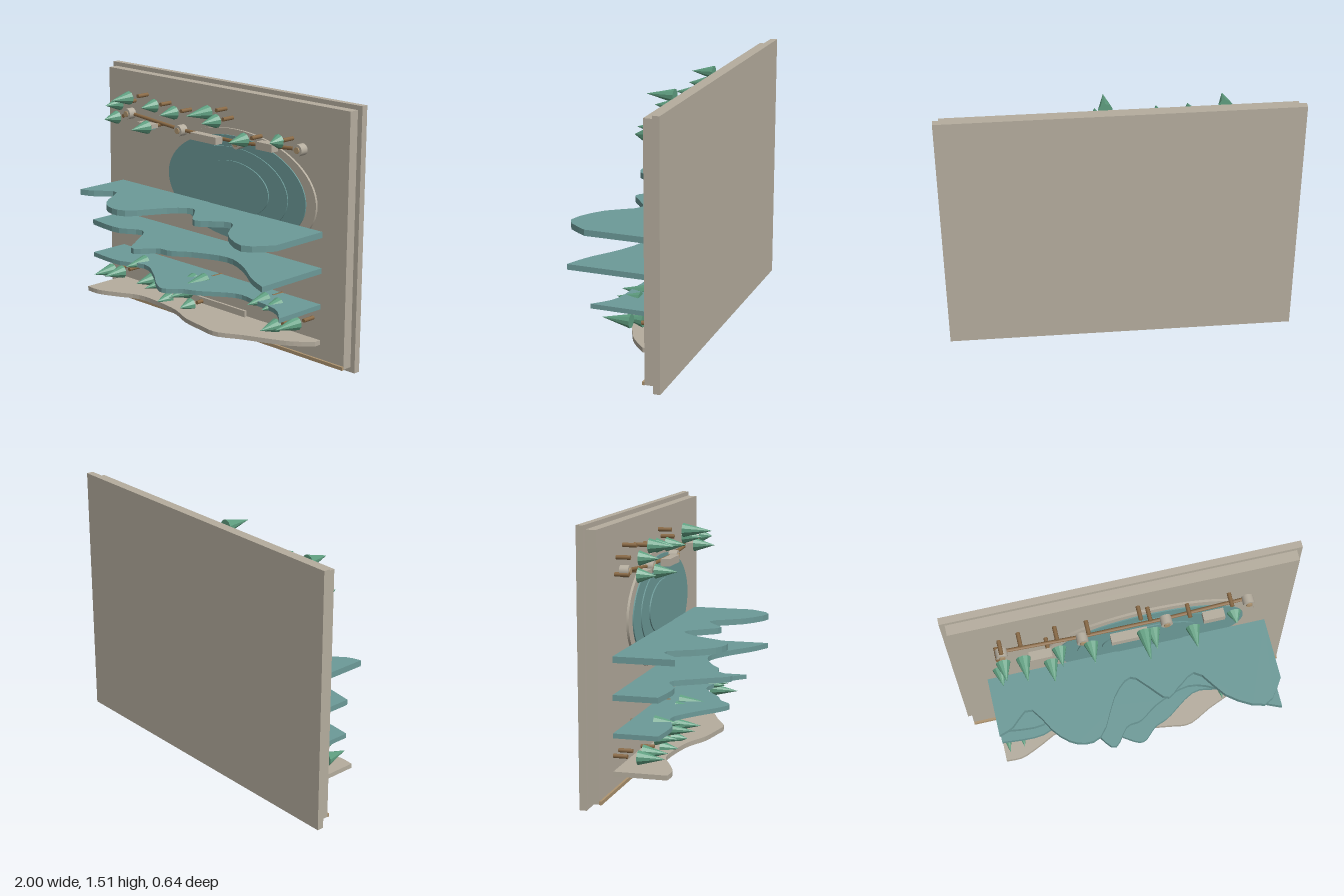
import * as THREE from 'three';

const mat = (name, color, side = THREE.FrontSide) => {
  const m = new THREE.MeshStandardMaterial({ color, side });
  m.name = name;
  return m;
};

export function createModel() {
  const root = new THREE.Group();
  root.name = 'landscapeRelief';
  const stone = mat('stone', 0xb5ad9e);
  const water = mat('water', 0x6c9a98);
  const leaf = mat('leaf', 0x5f9e80);
  leaf.flatShading = true;
  const wood = mat('wood', 0x8a6a45);
  const tan = mat('tan', 0xae9470);

  const add = (name, geometry, material, x = 0, y = 0, z = 0) => {
    const m = new THREE.Mesh(geometry, material);
    m.name = name;
    m.position.set(x, y, z);
    root.add(m);
    return m;
  };
  // Box given by its limits on each axis
  const box = (name, material, x0, x1, y0, y1, z0, z1) =>
    add(name, new THREE.BoxGeometry(x1 - x0, y1 - y0, z1 - z0), material,
      (x0 + x1) / 2, (y0 + y1) / 2, (z0 + z1) / 2);
  // Cylinder lying along z
  const rod = (name, material, x, y, z0, z1, r, sides = 8) =>
    add(name, new THREE.CylinderGeometry(r, r, z1 - z0, sides).rotateX(Math.PI / 2),
      material, x, y, (z0 + z1) / 2);

  // Backing, raised panel and bottom strip
  box('backing', stone, -1, 1, 0, 1.51, -0.32, -0.28);
  box('panel', stone, -0.97, 0.97, 0.03, 1.485, -0.28, -0.22);
  box('bottomStrip', tan, -0.97, 0.97, 0.027, 0.047, -0.22, -0.207);

  // Lake: shore plate and stepped water discs
  const disc = (name, material, rx, ry, z0, z1) => {
    const d = rod(name, material, 0.135, 0.92, z0, z1, 1, 64);
    d.scale.set(rx, ry, 1);
  };
  disc('shore', stone, 0.62, 0.343, -0.22, -0.206);
  disc('lake', water, 0.55, 0.305, -0.206, -0.199);
  disc('lakeStep', water, 0.42, 0.24, -0.199, -0.193);
  disc('lakeCentre', water, 0.28, 0.16, -0.193, -0.186);

  // Terraces with a wavy front edge, points are [x, z]
  const terrace = (name, material, y0, y1, points) => {
    const edge = new THREE.SplineCurve(points.map(([x, z]) => new THREE.Vector2(x, -z)));
    const shape = new THREE.Shape([
      new THREE.Vector2(0.82, 0.19), new THREE.Vector2(-0.82, 0.19), ...edge.getPoints(40)]);
    const geo = new THREE.ExtrudeGeometry(shape, { depth: y1 - y0, bevelEnabled: false });
    add(name, geo.rotateX(-Math.PI / 2), material, 0, y0, 0);
  };
  terrace('upperTerrace', water, 0.765, 0.8, [[-0.82, 0.155], [-0.74, 0.125], [-0.62, 0.04],
    [-0.5, 0.22], [-0.38, 0.305], [-0.25, 0.28], [-0.13, 0.07], [-0.02, -0.02], [0.07, 0.06],
    [0.16, 0.15], [0.25, 0.09], [0.36, 0.04], [0.5, 0.22], [0.7, 0.315], [0.82, 0.18]]);
  terrace('middleTerrace', water, 0.56, 0.592, [[-0.82, 0.06], [-0.58, 0.08], [-0.42, 0.01],
    [-0.3, 0.16], [-0.19, 0.305], [-0.09, 0.2], [0, 0.18], [0.12, 0.1], [0.32, 0.035],
    [0.5, 0.1], [0.68, 0.22], [0.82, 0.285]]);
  terrace('lowerTerrace', water, 0.355, 0.382, [[-0.82, 0.06], [-0.59, 0.07], [-0.4, 0.01],
    [-0.23, 0.1], [-0.1, 0.2], [0, 0.245], [0.09, 0.17], [0.18, 0.13], [0.36, 0.01],
    [0.51, 0.02], [0.7, 0.05], [0.82, 0.15]]);
  terrace('baseTerrace', stone, 0.145, 0.172, [[-0.82, 0.11], [-0.72, 0.11], [-0.6, 0.06],
    [-0.47, 0], [-0.31, 0], [-0.12, 0.03], [0.03, 0.09], [0.2, 0.12], [0.32, 0.13],
    [0.46, 0.06], [0.6, 0], [0.72, -0.06], [0.82, -0.15]]);
  box('lowerPlate', stone, -0.27, 0.26, 0.07, 0.21, -0.18, -0.165);

  // Wall walk between round towers
  const towers = [[-0.71, 1.24], [-0.26, 1.205], [0.215, 1.205], [0.68, 1.242]];
  for (let i = 0; i < 3; i++) {
    const [a, b] = [towers[i], towers[i + 1]].map(([x, y]) => new THREE.Vector3(x, y, -0.165));
    add('wallWalk', new THREE.TubeGeometry(new THREE.LineCurve3(a, b), 1, 0.011, 8), wood);
  }
  for (const [x, y] of towers) {
    rod('tower', stone, x, y, -0.175, -0.125, 0.033, 20);
    rod('towerCap', tan, x, y, -0.125, -0.118, 0.018, 16);
  }

  // Pavilions and the water plates below them
  box('pavilion', stone, -0.107, 0.1, 1.185, 1.227, -0.135, -0.082);
  box('pavilion', stone, 0.413, 0.533, 1.212, 1.256, -0.135, -0.082);
  box('pavilion', stone, -0.565, -0.44, 1.195, 1.22, -0.135, -0.082);
  box('waterPlate', water, -0.085, 0.078, 1.175, 1.185, -0.13, -0.09);
  box('waterPlate', water, -0.555, -0.45, 1.187, 1.195, -0.13, -0.09);

  // Trees pointing outward: [x, y, base z, tip z]
  const trees = [
    [-0.735, 1.225, -0.07, 0.03], [-0.71, 1.313, -0.07, 0.04], [-0.6, 1.365, -0.05, 0.09],
    [-0.455, 1.208, -0.06, 0.065], [-0.4, 1.343, -0.07, 0.035], [-0.225, 1.328, -0.065, 0.05],
    [0.065, 1.375, -0.05, 0.12], [0.118, 1.33, -0.065, 0.05], [0.343, 1.258, -0.06, 0.065],
    [0.58, 1.283, -0.085, -0.015],
    [-0.785, 0.25, -0.06, 0.09], [-0.695, 0.258, -0.06, 0.08], [-0.48, 0.37, -0.06, 0.1],
    [-0.43, 0.268, -0.07, 0.06], [-0.29, 0.285, -0.06, 0.12], [-0.29, 0.178, -0.08, 0.02],
    [-0.092, 0.187, -0.07, 0.02], [-0.1, 0.27, -0.06, 0.1], [-0.053, 0.355, -0.06, 0.1],
    [0.035, 0.373, -0.06, 0.12], [0.523, 0.373, -0.06, 0.09], [0.622, 0.365, -0.06, 0.08],
    [0.598, 0.233, -0.07, 0.06], [0.757, 0.288, -0.06, 0.11],
  ];
  for (const [x, y, z0, z1] of trees) {
    rod('treeTrunk', wood, x, y, -0.2, -0.12, 0.012);
    add('treeCrown', new THREE.ConeGeometry(0.041, z1 - z0, 10).rotateX(Math.PI / 2),
      leaf, x, y, (z0 + z1) / 2);
  }
  add('ball', new THREE.SphereGeometry(0.026, 12, 8), tan, 0.62, 0.337, -0.1);

  return root;
}
